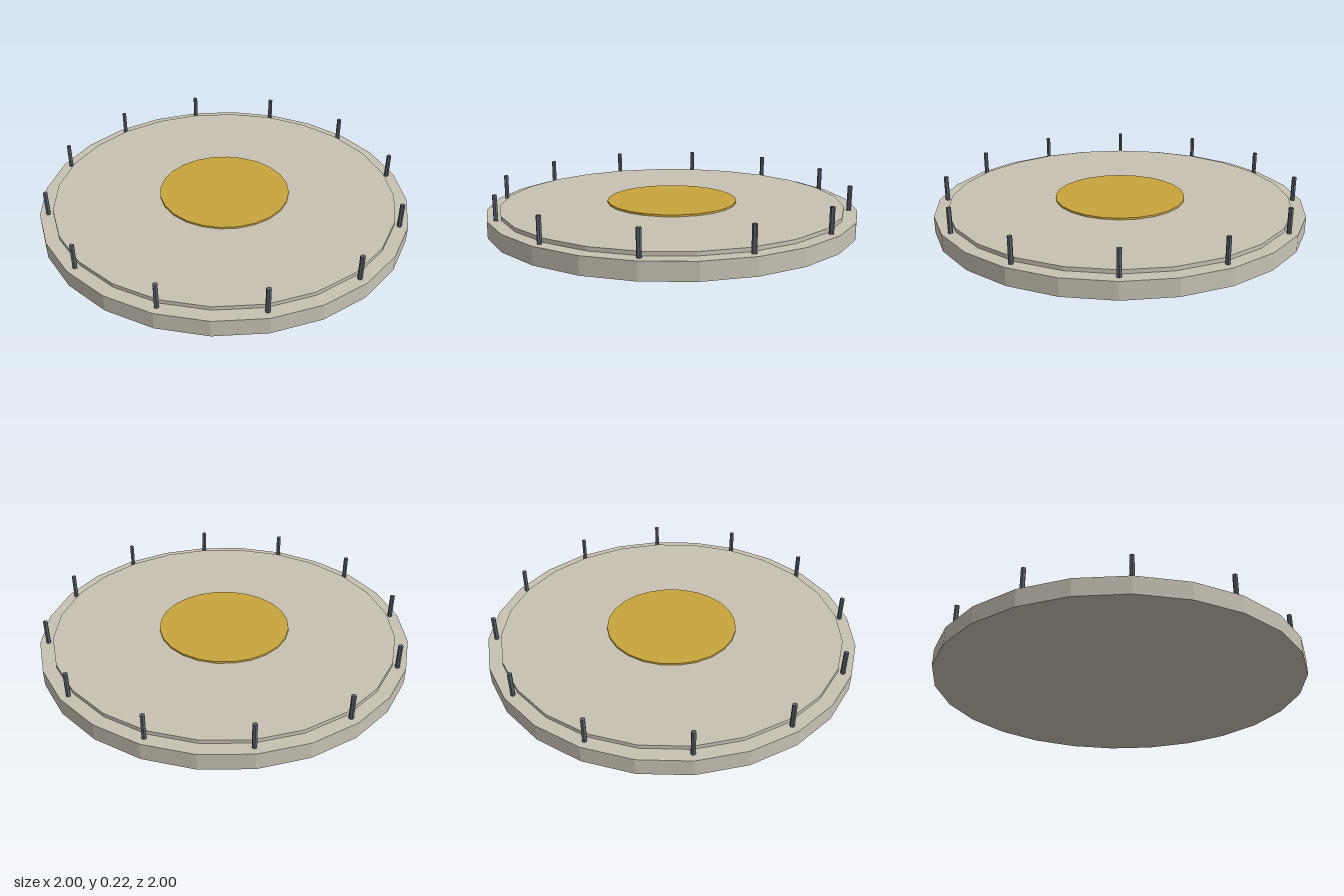
import * as THREE from 'three';

function material(name, hex) {
  const m = new THREE.MeshStandardMaterial({ color: hex });
  m.name = name;
  return m;
}

// Faceted upright cylinder standing between heights y0 and y1
function disc(name, radius, y0, y1, sides, mat) {
  const g = new THREE.CylinderGeometry(radius, radius, y1 - y0, sides).toNonIndexed();
  g.computeVertexNormals();
  g.translate(0, (y0 + y1) / 2, 0);
  const mesh = new THREE.Mesh(g, mat);
  mesh.name = name;
  return mesh;
}

export function createModel() {
  const stone = material('pale stone', 0xc8c2b4);
  const gold = material('gold', 0xc8a63c);
  const steel = material('dark steel', 0x5a606a);

  const model = new THREE.Group();
  model.name = 'roundPlatform';

  // Stepped platform with a gold centre
  model.add(disc('base', 1, 0, 0.09, 24, stone));
  model.add(disc('raisedFloor', 0.93, 0.09, 0.11, 24, stone));
  model.add(disc('centreDisc', 0.355, 0.11, 0.12, 24, gold));

  // Ring of posts on the outer ledge
  const posts = new THREE.Group();
  posts.name = 'posts';
  for (let i = 0; i < 12; i++) {
    const a = (i / 12) * Math.PI * 2;
    const post = disc('post', 0.0125, 0.09, 0.223, 6, steel);
    post.position.set(Math.cos(a) * 0.955, 0, Math.sin(a) * 0.955);
    posts.add(post);
  }
  model.add(posts);
  return model;
}
